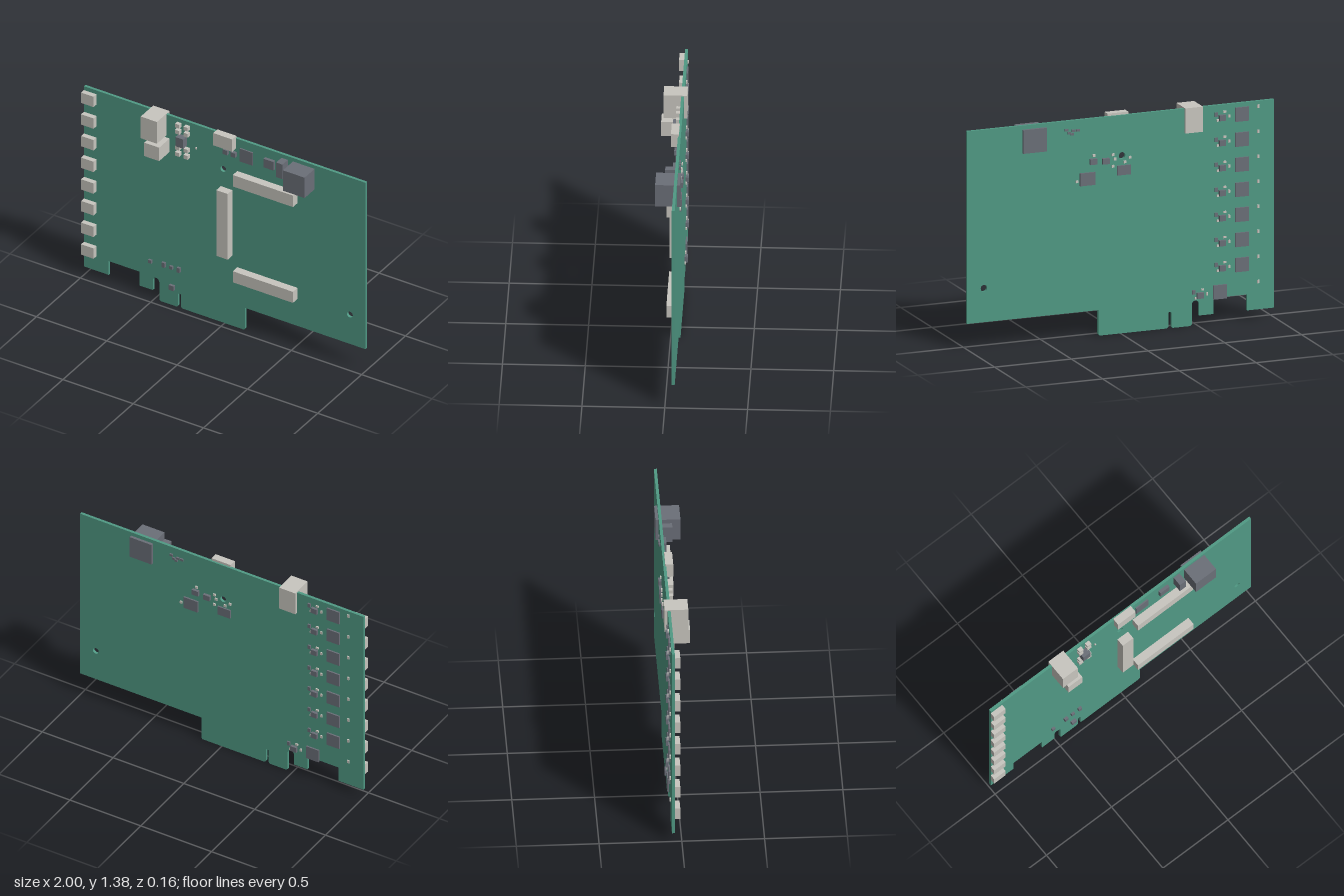
import * as THREE from 'three';

const mat = (name, color) => {
  const m = new THREE.MeshStandardMaterial({ color });
  m.name = name;
  return m;
};

export function createModel() {
  const green = mat('boardGreen', 0x509984);
  const beige = mat('connectorBeige', 0xc8c6bf);
  const dark = mat('chipGrey', 0x6b6f78);
  const FRONT = -0.042, BACK = -0.06;
  const root = new THREE.Group();
  root.name = 'expansionCard';

  // box given by its x, y and z ranges
  const block = (name, m, x0, x1, y0, y1, z0, z1) => {
    const mesh = new THREE.Mesh(new THREE.BoxGeometry(x1 - x0, y1 - y0, z1 - z0), m);
    mesh.position.set((x0 + x1) / 2, (y0 + y1) / 2, (z0 + z1) / 2);
    mesh.name = name;
    root.add(mesh);
  };
  // parts mounted on one face, given by centre and size
  const onFront = (name, m, x, y, w, h, z) =>
    block(name, m, x - w / 2, x + w / 2, y - h / 2, y + h / 2, FRONT, z);
  const onBack = (name, m, x, y, w, h, z) =>
    block(name, m, x - w / 2, x + w / 2, y - h / 2, y + h / 2, z, BACK);

  // circuit board with edge tabs, rounded slots and mounting holes
  const s = new THREE.Shape();
  s.moveTo(-1, 1.362);
  s.lineTo(-1, 0.06);
  s.lineTo(-0.825, 0.06);
  s.lineTo(-0.825, 0.16);
  s.lineTo(-0.605, 0.16);
  s.lineTo(-0.605, 0.06);
  s.lineTo(-0.511, 0.06);
  s.lineTo(-0.511, 0.133);
  s.absarc(-0.488, 0.133, 0.023, Math.PI, 0, true);
  s.lineTo(-0.465, 0.01);
  s.lineTo(-0.455, 0);
  s.lineTo(-0.34, 0);
  s.lineTo(-0.331, 0.01);
  s.lineTo(-0.331, 0.092);
  s.absarc(-0.321, 0.092, 0.01, Math.PI, 0, true);
  s.lineTo(-0.311, 0.01);
  s.lineTo(-0.302, 0);
  s.lineTo(0.136, 0);
  s.lineTo(0.145, 0.01);
  s.lineTo(0.145, 0.16);
  s.lineTo(1, 0.16);
  s.lineTo(1, 1.362);
  s.closePath();
  for (const [x, y] of [[-0.01, 1.11], [0.89, 0.372]]) {
    const hole = new THREE.Path();
    hole.absarc(x, y, 0.021, 0, Math.PI * 2, true);
    s.holes.push(hole);
  }
  const board = new THREE.Mesh(
    new THREE.ExtrudeGeometry(s, { depth: FRONT - BACK, bevelEnabled: false, curveSegments: 12 }), green);
  board.position.z = BACK;
  board.name = 'circuitBoard';
  root.add(board);

  // eight channels: edge connector in front, driver parts behind
  for (let i = 0; i < 8; i++) {
    const y = 1.297 - i * 0.1565;
    const dx = i === 7 ? 0.145 : 0;
    onFront('edgeConnector', beige, -0.956, y, 0.088, 0.075, -0.009);
    onBack('channelChip', dark, -0.79 + dx, y - 0.006, 0.088, 0.088, -0.07);
    onBack('channelRegulator', dark, -0.66 + dx, y - 0.015, 0.042, 0.036, -0.078);
    onBack('channelDiode', dark, -0.62 + dx, y + 0.008, 0.018, 0.026, -0.07);
    onBack('channelCapacitor', beige, -0.677 + dx, y + 0.02, 0.018, 0.012, -0.068);
    onBack('channelCapacitor', beige, -0.706 + dx, y - 0.01, 0.012, 0.018, -0.068);
    onBack('channelCapacitor', beige, -0.632 + dx, y - 0.03, 0.012, 0.014, -0.068);
    onBack('channelResistor', beige, -0.896, y + 0.033, 0.014, 0.02, -0.068);
  }

  // large connectors, two of the blocks pass through the board
  block('tallConnector', beige, -0.53, -0.415, 1.21, 1.367, -0.078, 0.065);
  block('lowerConnector', beige, -0.497, -0.391, 1.1, 1.197, FRONT, 0.078);
  block('topConnector', beige, -0.055, 0.08, 1.288, 1.377, FRONT - 0.006, 0);
  block('powerBlock', dark, 0.486, 0.64, 1.19, 1.337, -0.078, 0.073);

  // long mezzanine sockets
  block('upperSocket', beige, 0.09, 0.518, 1.047, 1.13, FRONT, 0.01);
  block('lowerSocket', beige, 0.09, 0.518, 0.355, 0.435, FRONT, 0.01);
  block('verticalSocket', beige, -0.027, 0.054, 0.505, 0.98, FRONT, 0.01);

  // oscillator with its small capacitors
  onFront('oscillator', dark, -0.295, 1.223, 0.056, 0.066, 0.002);
  for (const x of [-0.322, -0.262])
    for (const y of [1.324, 1.28, 1.165, 1.12])
      onFront('capacitor', beige, x, y, 0.03, 0.027, -0.016);
  onFront('smallResistor', beige, -0.2, 1.195, 0.01, 0.012, -0.035);

  // front chips: x, y, width, height, front z
  for (const p of [
    [0.015, 1.25, 0.032, 0.032, -0.02], [0.07, 1.25, 0.032, 0.032, -0.02],
    [0.157, 1.258, 0.092, 0.092, -0.033], [0.323, 1.268, 0.07, 0.062, -0.022],
    [0.427, 1.283, 0.045, 0.105, 0.02], [-0.525, 0.267, 0.022, 0.022, -0.028],
    [-0.428, 0.277, 0.024, 0.033, -0.026], [-0.375, 0.275, 0.022, 0.022, -0.028],
    [-0.322, 0.277, 0.022, 0.033, -0.026], [-0.37, 0.133, 0.034, 0.034, -0.024],
  ]) onFront('frontChip', dark, ...p);

  // back chips: x, y, width, height, back z
  for (const p of [
    [0.18, 1.093, 0.045, 0.036, -0.078], [0.1, 1.088, 0.045, 0.036, -0.078],
    [0.216, 0.987, 0.1, 0.08, -0.07], [-0.02, 1.02, 0.088, 0.06, -0.07],
    [0.354, 1.306, 0.022, 0.014, -0.07], [0.308, 1.298, 0.022, 0.014, -0.07],
    [0.318, 1.278, 0.018, 0.014, -0.07], [0.28, 1.298, 0.022, 0.014, -0.07],
    [0.337, 1.286, 0.018, 0.014, -0.07],
  ]) onBack('backChip', dark, ...p);
  for (const [x, y] of [[0.176, 1.13], [0.285, 0.977], [0.05, 1.122], [0.037, 1.094], [0.05, 1.05], [-0.026, 1.07], [-0.06, 1.095]])
    onBack('backCapacitor', beige, x, y, 0.016, 0.016, -0.068);

  return root;
}
